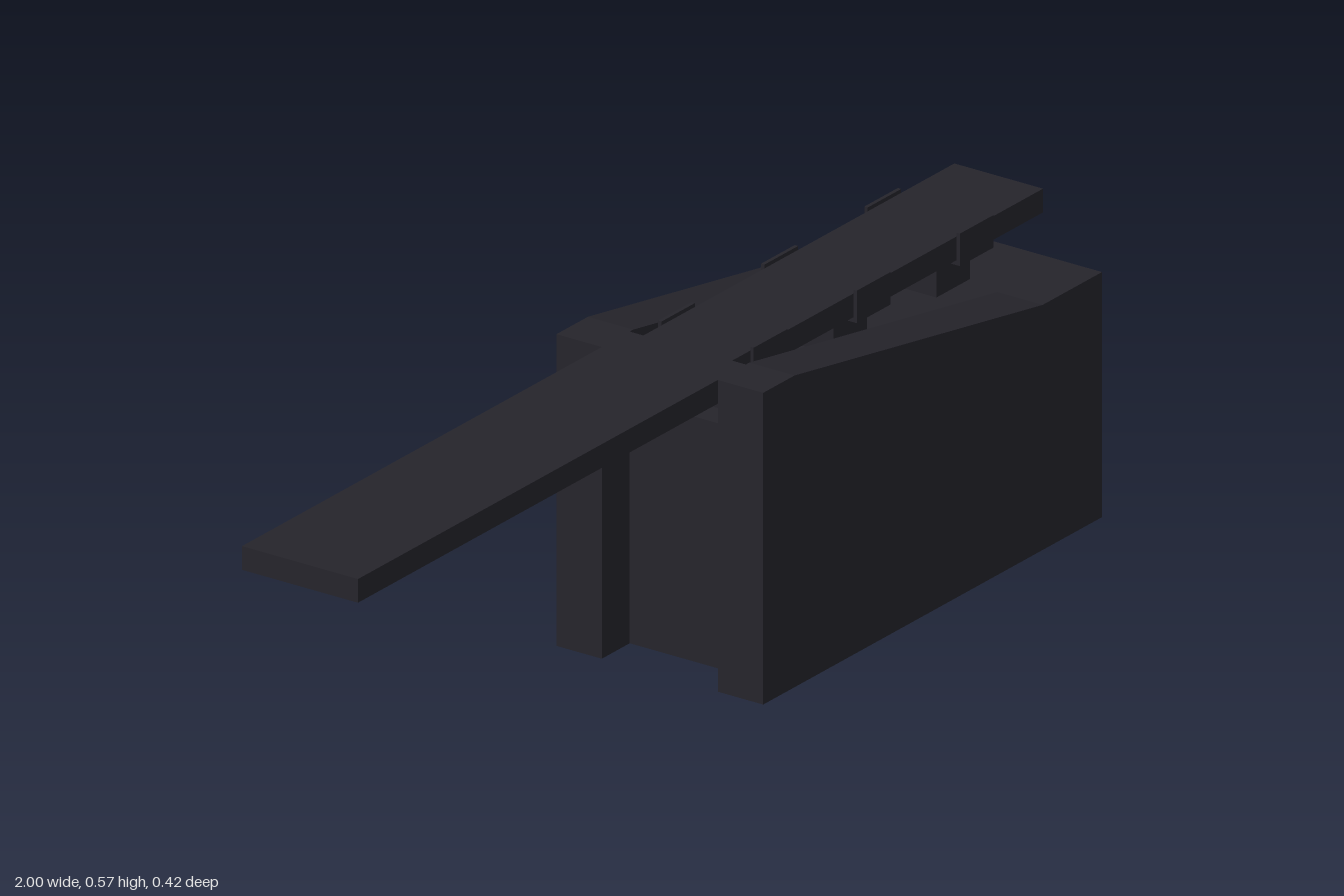
import * as THREE from 'three';

const material = new THREE.MeshStandardMaterial({ color: 0x25242b, flatShading: true });

// Prism along +z from a 2D outline
function prism(name, points, depth) {
  const shape = new THREE.Shape(points.map(([x, y]) => new THREE.Vector2(x, y)));
  const mesh = new THREE.Mesh(
    new THREE.ExtrudeGeometry(shape, { depth, bevelEnabled: false }), material);
  mesh.name = name;
  return mesh;
}

// Box given by its minimum and maximum corners
function box(name, [x0, y0, z0], [x1, y1, z1]) {
  const mesh = new THREE.Mesh(new THREE.BoxGeometry(x1 - x0, y1 - y0, z1 - z0), material);
  mesh.position.set((x0 + x1) / 2, (y0 + y1) / 2, (z0 + z1) / 2);
  mesh.name = name;
  return mesh;
}

export function createModel() {
  const model = new THREE.Group();
  const X0 = 0.03, NOTCH = 0.11, W = 0.212, SLOT = 0.119;
  const FLOOR = 0.445, TOP = 0.566, UNDER = 0.523;

  // Block with a full-height notch in its end, below the channel floor
  const base = prism('block', [
    [X0, -W], [1, -W], [1, W], [X0, W], [X0, SLOT], [NOTCH, SLOT], [NOTCH, -SLOT], [X0, -SLOT],
  ], FLOOR);
  base.rotation.x = -Math.PI / 2;
  model.add(base);

  // Sloping cheeks either side of the channel
  for (const z of [-W, SLOT]) {
    const cheek = prism('slopingCheek', [
      [X0, FLOOR], [0.83, FLOOR], [0.12, TOP], [X0, TOP],
    ], W - SLOT);
    cheek.position.z = z;
    model.add(cheek);
  }

  // Flat bar, wide outside the block and narrower over the channel
  const N = 0.091;
  const bar = prism('bar', [
    [-1, -SLOT], [NOTCH, -SLOT], [NOTCH, -N], [1, -N], [1, N], [NOTCH, N], [NOTCH, SLOT], [-1, SLOT],
  ], TOP - UNDER);
  bar.rotation.x = -Math.PI / 2;
  bar.position.y = UNDER;
  model.add(bar);

  // Three posts, each with a U-shaped clip holding the bar
  const C = 0.098, LOW = 0.514, HIGH = 0.573;
  for (const x of [0.21, 0.505, 0.8]) {
    const support = new THREE.Group();
    support.name = 'support';
    const a = x - 0.048, b = x + 0.048;
    support.add(box('post', [a, FLOOR, -0.05], [b, LOW, 0.05]));
    support.add(box('clipBase', [a, LOW, -C], [b, UNDER, C]));
    for (const z of [-C, N]) {
      support.add(box('clipSide', [a, UNDER, z], [b, HIGH, z + C - N]));
    }
    model.add(support);
  }
  return model;
}
